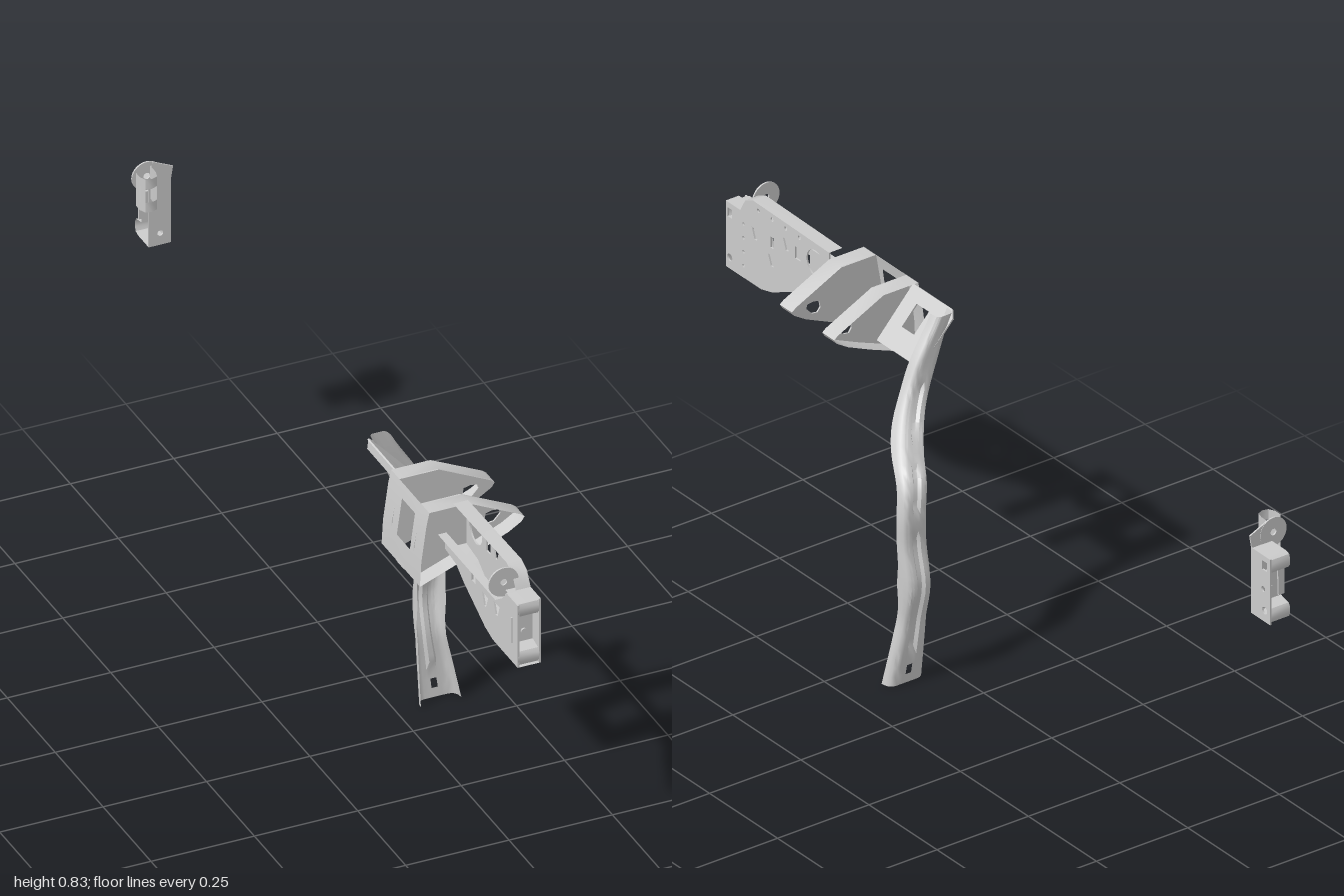
import * as THREE from 'three';
import { toCreasedNormals } from 'three/addons/utils/BufferGeometryUtils.js';

const T = 0.004; // sheet thickness
const material = new THREE.MeshStandardMaterial({ color: 0xcccccc, side: THREE.DoubleSide });
const { lerp, smoothstep } = THREE.MathUtils;

function named(name, geometry) {
  const mesh = new THREE.Mesh(geometry, material);
  mesh.name = name;
  return mesh;
}

function group(name, ...parts) {
  const g = new THREE.Group().add(...parts);
  g.name = name;
  return g;
}

// Sheet surface through rows of points; skip(row, column) leaves openings
function loft(name, rows, skip = () => false) {
  const n = rows[0].length, index = [];
  for (let r = 0; r < rows.length - 1; r++) for (let c = 0; c < n - 1; c++) {
    if (skip(r, c)) continue;
    const a = r * n + c, d = a + n;
    index.push(a, a + 1, d + 1, a, d + 1, d);
  }
  const g = new THREE.BufferGeometry();
  g.setAttribute('position', new THREE.Float32BufferAttribute(rows.flat(2), 3));
  g.setIndex(index);
  return named(name, toCreasedNormals(g, 0.7));
}

// Bent strip: path of [z, y] swept along x, or of [x, y] swept along z
function ribbon(name, axis, path, lo, hi) {
  const at = (p, d) => axis === 'x' ? [d, p[1], p[0]] : [p[0], p[1], d];
  return loft(name, path.map(p => [at(p, lo), at(p, hi)]));
}

// Hole outlines
const circle = (x, y, r) => new THREE.Path().absarc(x, y, r, 0, Math.PI * 2, true);
const polygon = points => new THREE.Path(points.map(p => new THREE.Vector2(...p))).closePath();
const rect = (x, y, w, h) => polygon([[x - w / 2, y - h / 2], [x + w / 2, y - h / 2], [x + w / 2, y + h / 2], [x - w / 2, y + h / 2]]);
const triangle = (x, y, s) => polygon([[x - s, y + s * 0.8], [x + s, y + s * 0.8], [x + s * 0.3, y - s], [x - s * 0.3, y - s]]);

// Flat sheet in the xy plane
function sheet(outline, holes) {
  const shape = new THREE.Shape(outline.map(p => new THREE.Vector2(...p)));
  shape.holes = holes;
  return new THREE.ExtrudeGeometry(shape, { depth: T, bevelEnabled: false, curveSegments: 20 });
}
// Sheet facing x, drawn in [z, y]
function sidePlate(name, outline, holes, x) {
  return named(name, sheet(outline, holes).rotateY(-Math.PI / 2).translate(x, 0, 0));
}
// Sheet facing z, drawn in [x, y]
function crossPlate(name, outline, holes, z) {
  return named(name, sheet(outline, holes).translate(0, 0, z - T / 2));
}

function locatingDisc(z) {
  const rim = Array.from({ length: 40 }, (_, i) => {
    const a = i * Math.PI / 20;
    return [-0.098 + 0.036 * Math.cos(a), 0.795 + 0.036 * Math.sin(a)];
  });
  return crossPlate('locatingDisc', rim, [circle(-0.098, 0.795, 0.008)], z);
}

// End cap with rolled top and bottom beads; s is +1 at the front, -1 at the back
function endCap(s) {
  const half = [[0.93, 0.082], [0.985, 0.082], [0.996, 0.078], [1, 0.068], [1, 0.054], [0.994, 0.045], [0.966, 0.038]];
  const path = [...half, ...half.map(([z, y]) => [z, -y]).reverse()].map(([z, y]) => [z * s, y + 0.692]);
  return group('endCap',
    ribbon('rolledCap', 'x', path, -0.094, -0.041),
    crossPlate('capTab', [[-0.098, 0.66], [-0.082, 0.66], [-0.08, 0.725], [-0.098, 0.725]], [], s * 0.972),
    named('capBoss', new THREE.CylinderGeometry(0.007, 0.007, T, 20)
      .rotateX(Math.PI / 2).translate(-0.065, 0.68, s * 0.968)));
}

function frontRail() {
  const lower = [[1, 0.61], [0.87, 0.61], [0.83, 0.62], [0.72, 0.672], [0.68, 0.697], [0.62, 0.705]];
  const upper = [[0.62, 0.815], [0.9, 0.82], [0.928, 0.808], [0.947, 0.775], [1, 0.775]];
  const webHoles = [
    rect(0.985, 0.75, 0.016, 0.022), circle(0.985, 0.638, 0.009), circle(0.67, 0.765, 0.033),
    triangle(0.89, 0.74, 0.015), triangle(0.83, 0.7, 0.015), triangle(0.775, 0.765, 0.015),
    rect(0.83, 0.745, 0.012, 0.028), rect(0.735, 0.76, 0.02, 0.03)];
  for (let i = 0; i < 4; i++) webHoles.push(circle(0.935, 0.64 + i * 0.035, 0.004), circle(0.88 - i * 0.05, 0.803, 0.005));
  const wallHoles = [triangle(0.89, 0.7, 0.016), triangle(0.83, 0.69, 0.016), rect(0.77, 0.715, 0.02, 0.025)];
  return group('frontRail',
    sidePlate('outerWeb', [...lower, ...upper], webHoles, -0.039),
    ribbon('topFlange', 'x', upper, -0.075, -0.041),
    ribbon('bottomFlange', 'x', lower, -0.094, -0.041),
    // Inner wall with its turned-out flange
    sidePlate('innerWall', [...lower, [0.62, 0.745], [0.92, 0.745], [0.94, 0.77], [1, 0.77]], wallHoles, -0.091),
    ribbon('innerFlange', 'x', [[0.62, 0.745], [0.92, 0.745]], -0.112, -0.091),
    locatingDisc(0.932),
    endCap(1));
}

function twinGusset() {
  const g = group('twinGusset');
  const top = [[-0.13, 0.802], [-0.035, 0.802], [0.09, 0.742], [0.1, 0.734]];
  const bottom = [[0.1, 0.734], [0.093, 0.723], [0.062, 0.704], [0, 0.677], [-0.152, 0.618]];
  const opening = [[0.025, 0.738], [0.04, 0.742], [0.058, 0.74], [0.061, 0.73], [0.045, 0.713], [0.03, 0.711], [0.022, 0.722]];
  // Triangular webs with flanges turned outward
  for (const [z, outer] of [[0.457, 0.415], [0.572, 0.615]]) {
    g.add(crossPlate('gussetWeb', [...bottom, [-0.148, 0.7], ...top.slice(0, 3)], [polygon(opening)], z),
      ribbon('gussetTopFlange', 'z', top, z, outer),
      ribbon('gussetBottomFlange', 'z', bottom, z, outer));
  }
  // Leaning side panel with a window
  const rows = [[-0.153, 0.618], [-0.1495, 0.68], [-0.137, 0.77], [-0.13, 0.802]];
  const cols = [0.415, 0.487, 0.555, 0.615];
  return g.add(
    loft('windowPanel', rows.map(([x, y]) => cols.map(z => [x, y, z])), (r, c) => r === 1 && c === 1),
    ribbon('panelTab', 'z', [[-0.136, 0.625], [-0.15, 0.618], [-0.157, 0.622], [-0.156, 0.632]], 0.5, 0.54));
}

function pillarJoint() {
  // Sloping panel between the gusset and the pillar head
  const panel = sheet([[0.26, 0], [0.42, 0], [0.42, 0.148], [0.275, 0.148], [0.26, 0.13]],
    [rect(0.355, 0.085, 0.045, 0.06)]).rotateY(-Math.PI / 2).rotateZ(0.74).translate(-0.02, 0.692, 0);
  return group('pillarJoint',
    named('slopingPanel', panel),
    ribbon('lowerFlange', 'z', [[-0.02, 0.692], [-0.035, 0.68], [-0.07, 0.68]], 0.29, 0.42),
    ribbon('upperFlange', 'z', [[-0.12, 0.802], [-0.123, 0.775]], 0.275, 0.42),
    crossPlate('closingWall', [[-0.022, 0.692], [-0.12, 0.8], [-0.115, 0.74], [-0.07, 0.68]], [], 0.415));
}

function pillar() {
  // Spine along the back of the channel
  const spine = new THREE.CatmullRomCurve3([
    [0.106, 0, 0.14], [0.098, 0.09, 0.13], [0.091, 0.16, 0.124], [0.091, 0.25, 0.105],
    [0.091, 0.34, 0.123], [0.09, 0.42, 0.126], [0.078, 0.48, 0.138], [0.05, 0.535, 0.185],
    [0.011, 0.6, 0.233], [-0.022, 0.66, 0.254], [-0.055, 0.73, 0.26], [-0.092, 0.802, 0.262],
  ].map(p => new THREE.Vector3(...p)));
  // Channel section: [across, depth, bead], mirrored about the middle
  const half = [[0, 1], [0.01, 0.6], [0.05, 0.25], [0.13, 0.05], [0.22, 0], [0.34, 0], [0.42, 0, 1]];
  const section = [...half, ...half.map(([t, d, b]) => [1 - t, d, b]).reverse()];
  const swell = (y, mid, spread) => Math.exp(-(((y - mid) / spread) ** 2));
  const beads = [[0.08, 0.38], [0.42, 0.51], [0.56, 0.65]];
  const rows = spine.getPoints(44).map(({ x, y, z }) => {
    const width = lerp(0.098, 0.069, Math.min(1, y / 0.16)) - 0.024 * smoothstep(y, 0.68, 0.8);
    const depth = 0.027 + 0.018 * swell(y, 0.25, 0.045) + 0.016 * swell(y, 0.55, 0.06);
    const bead = beads.some(([a, b]) => y > a && y < b) ? 0.007 : 0;
    return section.map(([t, d, b = 0]) => [x + (t - 0.5) * width, y, z + depth * d + bead * b]);
  });
  // Mounting opening near the foot
  return loft('pillar', rows, (r, c) => r === 1 && c === 6);
}

function rearBracket() {
  const curl = [[-0.09, -0.93], [-0.09, -0.9], [-0.095, -0.882], [-0.11, -0.876], [-0.124, -0.88], [-0.131, -0.895], [-0.131, -0.915]];
  return group('rearBracket',
    sidePlate('bracketSide', [[-1, 0.61], [-0.93, 0.61], [-0.93, 0.775], [-1, 0.775]],
      [rect(-0.98, 0.75, 0.018, 0.022), circle(-0.98, 0.638, 0.009), circle(-0.975, 0.69, 0.007)], -0.039),
    crossPlate('mountingPlate',
      [[-0.094, 0.61], [-0.04, 0.61], [-0.04, 0.775], [-0.035, 0.805], [-0.085, 0.828], [-0.094, 0.76]],
      [circle(-0.066, 0.64, 0.007)], -0.93),
    locatingDisc(-0.931),
    // Curled clip with a slot, in front of the disc
    loft('clip', [0.735, 0.76, 0.795, 0.82].map(y => curl.map(([x, z]) => [x, y, z])),
      (r, c) => r === 1 && (c === 2 || c === 3)),
    endCap(-1));
}

export function createModel() {
  return group('bodySupport', frontRail(), twinGusset(), pillarJoint(), pillar(), rearBracket());
}
